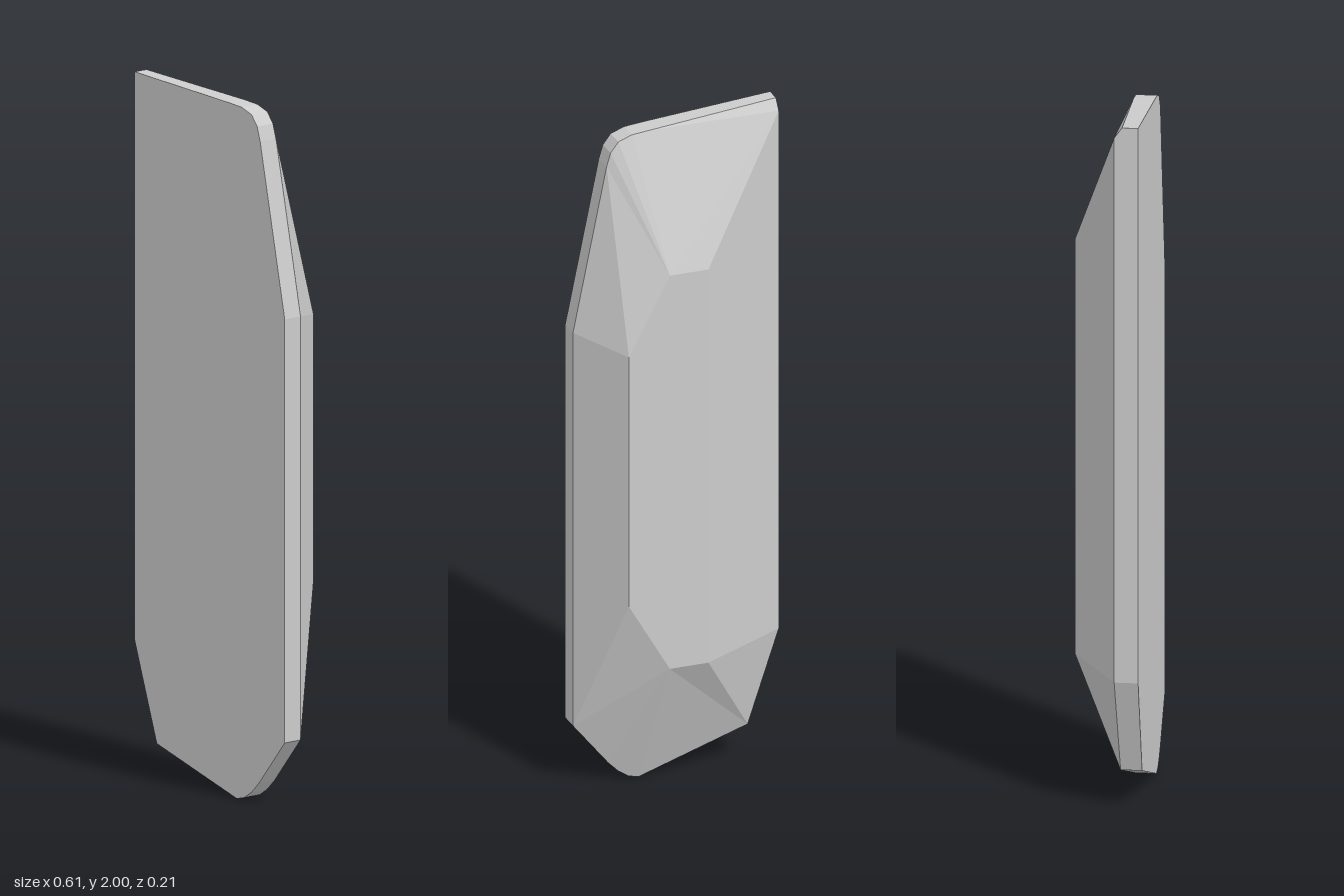
import * as THREE from 'three';

// Front outline, clockwise seen from the front, starting at the top left corner
const OUTLINE = [
  [-0.305, 2.0], [0.08, 1.97], [0.13, 1.965], [0.17, 1.95], [0.193, 1.92],
  [0.205, 1.88], [0.305, 1.39], [0.305, 0.19], [0.2, 0.06], [0.17, 0.03],
  [0.14, 0.01], [0.11, 0.003], [-0.215, 0.11], [-0.305, 0.39],
];
// Flat hexagon at the back, same direction
const BACK = [
  [-0.04, 1.59], [0.075, 1.59], [0.197, 1.36], [0.197, 0.6], [0.075, 0.39], [-0.04, 0.39],
];
// Last outline corner that meets each back corner before the facets move on
const LAST = [0, 5, 7, 7, 12, 14];

const at = (points, z) => points.map(([x, y]) => new THREE.Vector3(x, y, z));

function surface(name, triangles, material) {
  const geometry = new THREE.BufferGeometry().setFromPoints(triangles);
  geometry.computeVertexNormals();
  const mesh = new THREE.Mesh(geometry, material);
  mesh.name = name;
  return mesh;
}

// Fan over a convex outline
function cap(ring, facesFront) {
  const out = [];
  for (let i = 1; i < ring.length - 1; i++) {
    out.push(ring[0], ...(facesFront ? [ring[i + 1], ring[i]] : [ring[i], ring[i + 1]]));
  }
  return out;
}

// Wall between two rings with matching corners; shared corners collapse
function wall(front, back) {
  const out = [];
  front.forEach((a, i) => {
    const j = (i + 1) % front.length;
    const b = front[j], c = back[j], d = back[i];
    if (!b.equals(c)) out.push(a, b, c);
    if (!a.equals(d)) out.push(a, c, d);
  });
  return out;
}

// Facets from the rim to the smaller back hexagon
function facets(rim, back) {
  const out = [];
  let r = 0;
  back.forEach((corner, h) => {
    for (; r < LAST[h]; r++) out.push(rim[r], rim[(r + 1) % rim.length], corner);
    out.push(rim[r % rim.length], back[(h + 1) % back.length], corner);
  });
  return out;
}

export function createModel() {
  const group = new THREE.Group();
  group.name = 'facetedPanel';
  const grey = new THREE.MeshStandardMaterial({ color: 0xcccccc });
  grey.name = 'light grey';

  const front = at(OUTLINE, 0.105);
  const edge = at(OUTLINE, 0.045);
  edge[0].z = 0.06;
  edge[13].z = 0.038;
  // The rim has a small chamfer at the top left corner
  const rim = edge.map((p) => p.clone());
  rim[0].set(-0.305, 1.97, 0.038);
  const back = at(BACK, -0.105);

  group.add(
    surface('frontFace', cap(front, true), grey),
    surface('sideWall', wall(front, edge), grey),
    surface('cornerChamfer', wall(edge, rim), grey),
    surface('backFacets', facets(rim, back), grey),
    surface('backFace', cap(back, false), grey),
  );
  return group;
}
